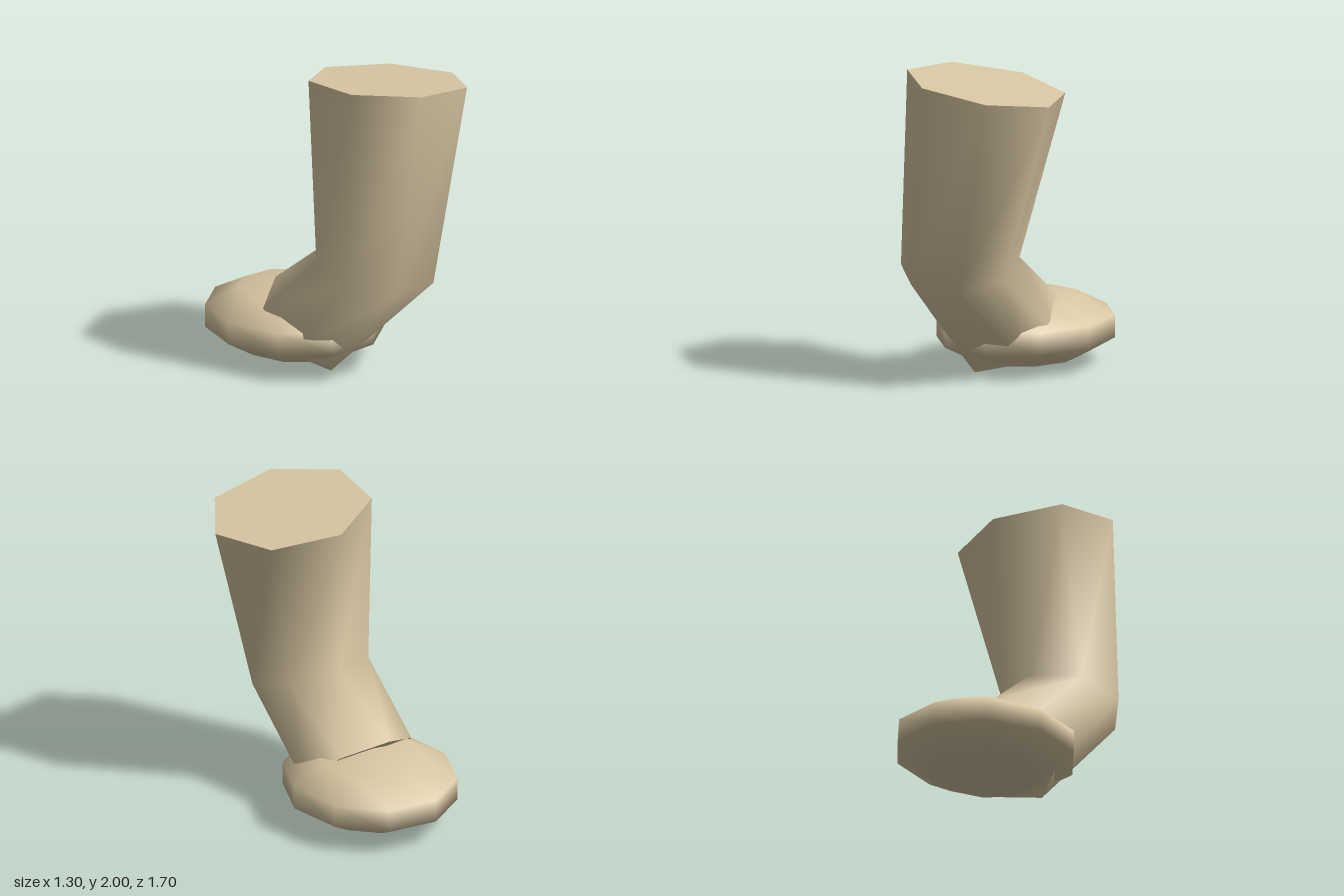
import * as THREE from 'three';

const material = new THREE.MeshStandardMaterial({ color: 0xd9c7a3 });

// Closed tube through cross-sections of [x, y, z] corners, top to bottom:
// smooth sides and flat end caps with their own corners.
function loft(rings) {
  const n = rings[0].length;
  const points = rings.flat();
  const index = [];
  for (let r = 0; r < rings.length - 1; r++) {
    for (let i = 0; i < n; i++) {
      const a = r * n + i, b = r * n + (i + 1) % n;
      index.push(a, b, b + n, a, b + n, a + n);
    }
  }
  const addCap = (ring, up) => {
    const start = points.length;
    points.push(...ring);
    for (let i = 1; i < n - 1; i++) {
      if (up) index.push(start, start + i + 1, start + i);
      else index.push(start, start + i, start + i + 1);
    }
  };
  addCap(rings[0], true);
  addCap(rings[rings.length - 1], false);

  const geometry = new THREE.BufferGeometry();
  geometry.setAttribute('position', new THREE.Float32BufferAttribute(points.flat(), 3));
  geometry.setIndex(index);
  geometry.computeVertexNormals();
  return geometry;
}

export function createModel() {
  const model = new THREE.Group();
  model.name = 'bentLegWithFoot';

  // Foot: flattened low-poly ellipsoid
  const footGeometry = new THREE.SphereGeometry(1, 10, 5);
  footGeometry.scale(0.5625, 0.235, 0.641);
  const foot = new THREE.Mesh(footGeometry, material);
  foot.name = 'foot';
  foot.position.set(-0.118, 0.245, -0.27);
  model.add(foot);

  // Leg: seven-sided tube, bent at the ankle and sunk into the foot
  const topRing = [
    [0, 1.92, -0.105], [0.445, 1.87, -0.01], [0.645, 1.868, 0.37], [0.45, 1.915, 0.75],
    [0, 1.975, 0.847], [-0.357, 2, 0.585], [-0.357, 1.98, 0.16],
  ];
  const bendRing = [
    [-0.1, 0.865, 0.11], [0.22, 0.81, 0.17], [0.34, 0.72, 0.45], [0.2, 0.66, 0.72],
    [-0.15, 0.68, 0.785], [-0.405, 0.74, 0.59], [-0.4, 0.81, 0.29],
  ];
  const endRing = [
    [-0.23, 0.515, -0.32], [0.11, 0.47, -0.31], [0.28, 0.27, -0.12], [0.15, 0.09, 0.05],
    [-0.17, 0.005, 0.155], [-0.43, 0.15, 0.08], [-0.48, 0.41, -0.14],
  ];
  const leg = new THREE.Mesh(loft([topRing, bendRing, endRing]), material);
  leg.name = 'leg';
  model.add(leg);

  return model;
}
